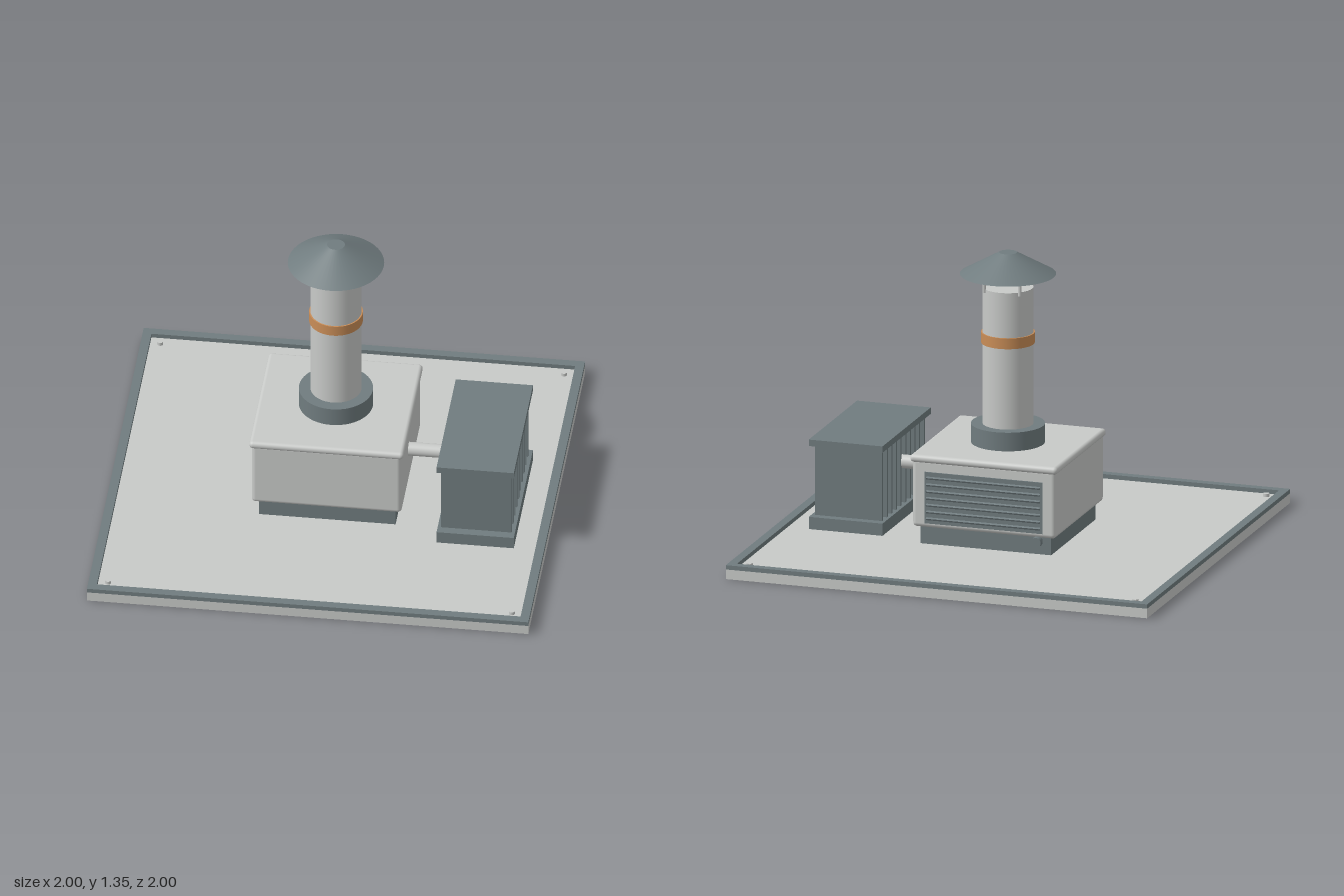
import * as THREE from 'three';
import { RoundedBoxGeometry } from 'three/addons/geometries/RoundedBoxGeometry.js';

const paint = (name, color) => {
  const m = new THREE.MeshStandardMaterial({ color });
  m.name = name;
  return m;
};

export function createModel() {
  const light = paint('light grey', 0xc8cac8);
  const slate = paint('slate grey', 0x707c7f);
  const copper = paint('copper', 0xc98d57);
  const model = new THREE.Group();
  model.name = 'rooftopVent';

  const add = (name, geometry, material, x = 0, y = 0, z = 0, parent = model) => {
    const mesh = new THREE.Mesh(geometry, material);
    mesh.name = name;
    mesh.position.set(x, y, z);
    parent.add(mesh);
    return mesh;
  };
  // Box and upright cylinder given by their bottom and top heights
  const box = (name, mat, w, d, y0, y1, x = 0, z = 0, parent = model) =>
    add(name, new THREE.BoxGeometry(w, y1 - y0, d), mat, x, (y0 + y1) / 2, z, parent);
  const tube = (name, mat, r, y0, y1, x = 0, z = 0, rTop = r, sides = 48, parent = model) =>
    add(name, new THREE.CylinderGeometry(rTop, r, y1 - y0, sides), mat, x, (y0 + y1) / 2, z, parent);
  const group = (name) => {
    const g = new THREE.Group();
    g.name = name;
    model.add(g);
    return g;
  };

  // Roof slab with a raised rim and corner bolts
  box('roofSlab', light, 2, 2, 0, 0.045);
  const rim = group('roofRim');
  for (const s of [-1, 1]) {
    box('rimLong', slate, 2, 0.04, 0.045, 0.065, 0, s * 0.98, rim);
    box('rimShort', slate, 0.04, 1.92, 0.045, 0.065, s * 0.98, 0, rim);
    for (const t of [-1, 1]) tube('cornerBolt', light, 0.014, 0.045, 0.06, s * 0.915, t * 0.915, 0.014, 20);
  }

  // Main housing on its plinth
  box('plinth', slate, 0.62, 0.62, 0.045, 0.135);
  add('housing', new RoundedBoxGeometry(0.68, 0.32, 0.68, 4, 0.02), light, 0, 0.288, 0);
  add('housingLid', new RoundedBoxGeometry(0.7, 0.036, 0.7, 4, 0.0175), light, 0, 0.448, 0);

  // Louvred grille on the back
  const grille = group('backGrille');
  box('grillePanel', slate, 0.56, 0.008, 0.15, 0.39, 0, -0.341, grille);
  for (let i = 0; i < 7; i++) {
    const slat = box('grilleSlat', slate, 0.54, 0.018, -0.004, 0.004, 0, -0.345, grille);
    slat.position.y = 0.175 + i * 0.0317;
    slat.rotation.x = -0.45;
  }

  // Drain outlet low on the back
  const drain = group('drainOutlet');
  for (const [r, z0, z1] of [[0.014, -0.3, -0.35], [0.024, -0.336, -0.364]]) {
    const part = add('drainPart', new THREE.CylinderGeometry(r, r, z0 - z1, 24), slate, -0.255, 0.112, (z0 + z1) / 2, drain);
    part.rotation.x = Math.PI / 2;
  }

  // Chimney stack
  tube('stackCollar', slate, 0.167, 0.46, 0.553);
  tube('stackPipe', light, 0.115, 0.55, 1.19);
  tube('stackBand', copper, 0.121, 0.93, 0.98);
  for (let i = 0; i < 4; i++) {
    const a = Math.PI / 4 + (i * Math.PI) / 2;
    tube('capStrut', light, 0.008, 1.175, 1.255, 0.12 * Math.cos(a), 0.12 * Math.sin(a), 0.008, 12);
  }
  tube('rainCap', slate, 0.217, 1.25, 1.35, 0, 0, 0.04);

  // Finned side unit, open between the fins
  const unit = group('finnedUnit');
  const ux = 0.685, uz = 0.085;
  box('unitBase', slate, 0.35, 0.675, 0.045, 0.102, ux, uz, unit);
  box('unitTop', slate, 0.35, 0.675, 0.433, 0.463, ux, uz, unit);
  for (let i = 0; i < 10; i++)
    box('fin', slate, 0.32, 0.014, 0.1, 0.435, ux, uz + (i - 4.5) * 0.0645, unit);

  // Pipe joining the housing to the side unit
  const link = tube('linkPipe', light, 0.031, 0, 0.2, 0.432, 0.08);
  link.position.y = 0.303;
  link.rotation.z = Math.PI / 2;

  return model;
}
